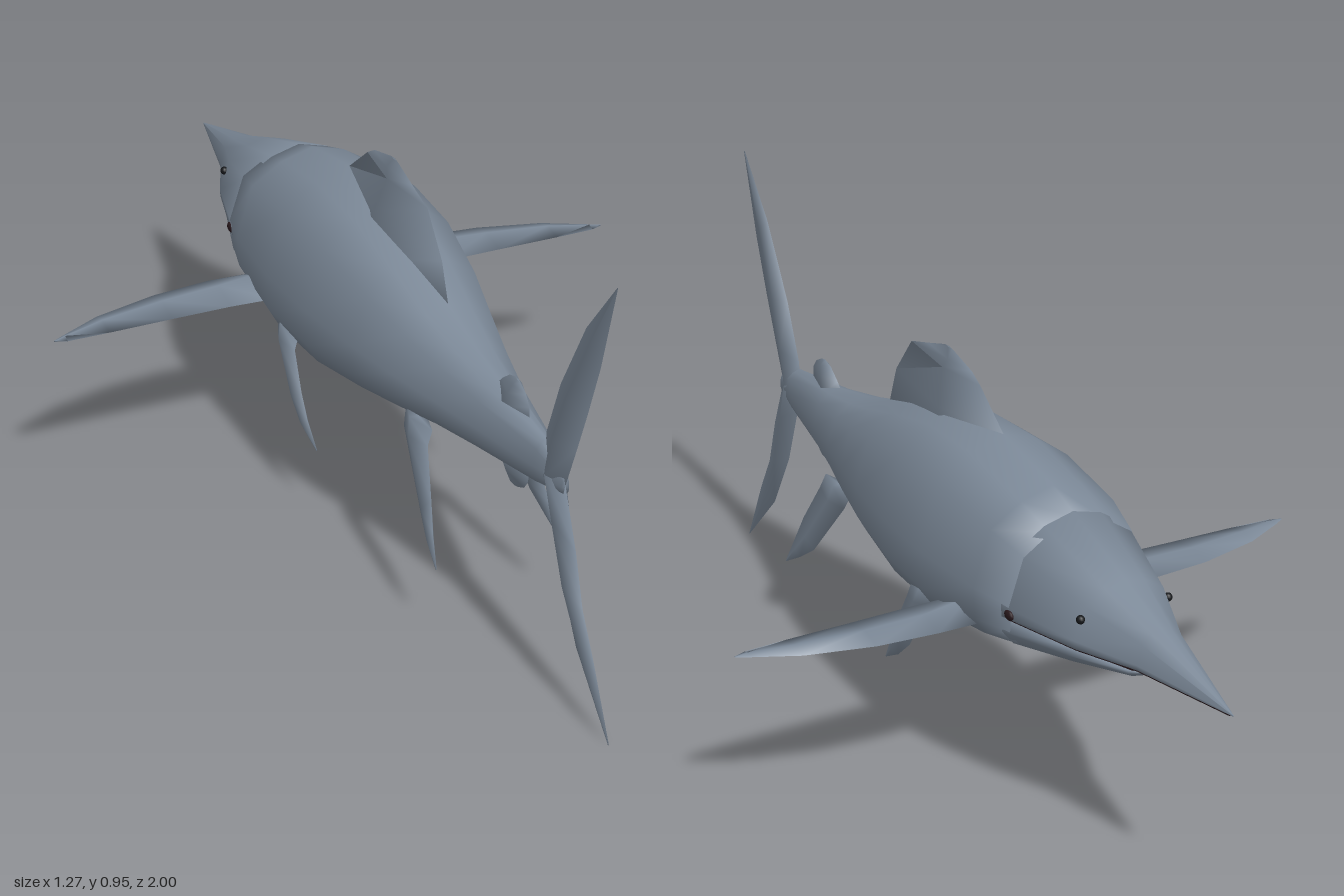
import * as THREE from 'three';

const skin = new THREE.MeshStandardMaterial({ color: 0x7c8998 });
skin.name = 'blue grey skin';
const mouthDark = new THREE.MeshStandardMaterial({ color: 0x2a1a1e });
mouthDark.name = 'dark mouth';
const eyeDark = new THREE.MeshStandardMaterial({ color: 0x15171a });
eyeDark.name = 'dark eye';

// Closed skin through equal-sized rings of [x, y, z] points, with end caps, facing outward
function loft(rings) {
  const n = rings[0].length;
  const middle = (ring) => [0, 1, 2].map((k) => ring.reduce((s, p) => s + p[k], 0) / n);
  const points = rings.flat();
  points.push(middle(rings[0]), middle(rings[rings.length - 1]));
  const index = [];
  const last = (rings.length - 1) * n;
  for (let j = 0; j < n; j++) {
    const k = (j + 1) % n;
    for (let i = 0; i < rings.length - 1; i++) {
      const a = i * n + j, b = i * n + k, c = a + n, d = b + n;
      index.push(a, b, c, b, d, c);
    }
    index.push(points.length - 2, k, j, points.length - 1, last + j, last + k);
  }
  // Signed volume tells whether the faces point inward
  let volume = 0;
  const v = points.map((p) => new THREE.Vector3(...p));
  const origin = v[v.length - 2];
  const rel = v.map((p) => p.clone().sub(origin));
  for (let i = 0; i < index.length; i += 3) {
    volume += rel[index[i]].dot(rel[index[i + 1]].clone().cross(rel[index[i + 2]]));
  }
  if (volume < 0) index.reverse();
  const geometry = new THREE.BufferGeometry();
  geometry.setAttribute('position', new THREE.Float32BufferAttribute(points.flat(), 3));
  geometry.setIndex(index);
  geometry.computeVertexNormals();
  return geometry;
}

// Mirrored ring from a half section of [width share, height share]
function ring(half, [z, top, bottom, w]) {
  const right = half.map(([x, u]) => [x * w, bottom + (top - bottom) * u, z]);
  const left = right.filter((p, i) => half[i][0] > 0).reverse().map(([x, y, q]) => [-x, y, q]);
  return [...right, ...left];
}

// Fin with a diamond section; each station is [leading point, trailing point, half thickness]
function fin(stations, axis) {
  return loft(stations.map(([a, b, t]) => {
    const mid = a.map((p, i) => p * 0.55 + b[i] * 0.45);
    const up = [...mid], down = [...mid];
    up[axis] += t;
    down[axis] -= t;
    return [a, up, b, down];
  }));
}

// Upright fin on the centre line; stations are [lead z, lead y, trail z, trail y, half thickness]
const uprightFin = (rows) =>
  fin(rows.map(([z1, y1, z2, y2, t]) => [[0, y1, z1], [0, y2, z2], t]), 0);

export function createModel() {
  const model = new THREE.Group();
  const add = (name, geometry, material = skin) => {
    const mesh = new THREE.Mesh(geometry, material);
    mesh.name = name;
    model.add(mesh);
    return mesh;
  };

  // Body: [z, top, bottom, half width]
  const bodyHalf = [[0, 1], [0.4, 0.94], [0.79, 0.81], [1, 0.47], [0.98, 0.27], [0.85, 0.16], [0, 0]];
  add('body', loft([
    [0.8, 0.48, 0.44, 0.008], [0.72, 0.52, 0.417, 0.026], [0.53, 0.543, 0.392, 0.063],
    [0.41, 0.567, 0.376, 0.092], [0.294, 0.6, 0.352, 0.122], [0.17, 0.645, 0.326, 0.152],
    [0, 0.69, 0.294, 0.18], [-0.176, 0.695, 0.289, 0.19], [-0.364, 0.658, 0.32, 0.178],
    [-0.46, 0.625, 0.342, 0.155],
  ].map((s) => ring(bodyHalf, s))));

  // Upper head and pointed snout with a flat underside
  const headHalf = [[0, 1], [0.4, 0.91], [0.79, 0.69], [1, 0.14], [0.99, 0], [0, 0]];
  add('snout', loft([
    [-0.44, 0.632, 0.445, 0.16], [-0.63, 0.566, 0.445, 0.11],
    [-0.76, 0.517, 0.445, 0.055], [-1, 0.447, 0.445, 0.001],
  ].map((s) => ring(headHalf, s))));

  // Lower jaw
  const jawHalf = [[0, 1], [0.97, 1], [0.98, 0.7], [0.82, 0.4], [0, 0]];
  add('lowerJaw', loft([
    [-0.44, 0.443, 0.338, 0.16], [-0.6, 0.438, 0.377, 0.112],
    [-0.735, 0.434, 0.411, 0.058], [-0.757, 0.433, 0.428, 0.03],
  ].map((s) => ring(jawHalf, s))));

  // Dark lining under the snout and on the jaw
  const plateHalf = [[1, 1], [1, 0]];
  add('palate', loft([
    [-0.45, 0.446, 0.442, 0.154], [-0.63, 0.446, 0.442, 0.107],
    [-0.76, 0.446, 0.442, 0.053], [-0.99, 0.446, 0.442, 0.002],
  ].map((s) => ring(plateHalf, s))), mouthDark);
  add('mouthFloor', loft([
    [-0.45, 0.445, 0.441, 0.15], [-0.6, 0.44, 0.436, 0.106], [-0.74, 0.436, 0.432, 0.05],
  ].map((s) => ring(plateHalf, s))), mouthDark);

  // Fins on the centre line
  add('dorsalFin', uprightFin([
    [-0.3, 0.57, 0.31, 0.56, 0.06], [-0.175, 0.695, 0.267, 0.68, 0.036],
    [-0.085, 0.765, 0.2, 0.765, 0.016], [-0.05, 0.785, 0.13, 0.785, 0.01],
    [0.03, 0.806, 0.06, 0.806, 0.002],
  ]));
  add('upperFinlet', uprightFin([
    [0.5, 0.52, 0.65, 0.51, 0.024], [0.535, 0.555, 0.65, 0.55, 0.016],
    [0.565, 0.578, 0.635, 0.57, 0.01], [0.59, 0.586, 0.61, 0.583, 0.002],
  ]));
  add('lowerFinlet', uprightFin([
    [0.5, 0.42, 0.66, 0.43, 0.024], [0.535, 0.382, 0.65, 0.385, 0.016],
    [0.565, 0.358, 0.635, 0.365, 0.01], [0.59, 0.35, 0.61, 0.353, 0.002],
  ]));
  add('upperTailLobe', uprightFin([
    [0.715, 0.46, 0.8, 0.46, 0.022], [0.72, 0.535, 0.84, 0.56, 0.02],
    [0.77, 0.663, 0.875, 0.65, 0.016], [0.86, 0.824, 0.918, 0.77, 0.01],
    [0.967, 0.956, 0.969, 0.956, 0.001],
  ]));
  add('lowerTailLobe', uprightFin([
    [0.715, 0.48, 0.8, 0.462, 0.022], [0.733, 0.41, 0.848, 0.345, 0.02],
    [0.781, 0.278, 0.882, 0.235, 0.016], [0.861, 0.139, 0.93, 0.15, 0.01],
    [0.999, 0.002, 1, 0.004, 0.001],
  ]));

  // Paired parts on both sides
  for (const [side, s] of [['left', 1], ['right', -1]]) {
    add(side + 'PectoralFin', fin([
      [0.15, -0.355, -0.225, 0.393, 0.03], [0.25, -0.357, -0.228, 0.395, 0.016],
      [0.38, -0.345, -0.23, 0.394, 0.012], [0.52, -0.308, -0.231, 0.393, 0.009],
      [0.61, -0.262, -0.234, 0.392, 0.005], [0.636, -0.247, -0.243, 0.392, 0.001],
    ].map(([x, z1, z2, y, t]) => [[s * x, y, z1], [s * x, y, z2], t]), 1));

    // Hanging fins: [x, lead z, lead y, trail z, trail y, half thickness]
    const hanging = (rows) => fin(rows.map(([x, z1, y1, z2, y2, t]) =>
      [[s * x, y1, z1], [s * x, y2, z2], t]), 0);
    add(side + 'FrontBellyFin', hanging([
      [0.155, -0.19, 0.385, -0.085, 0.385, 0.02], [0.168, -0.172, 0.355, -0.082, 0.345, 0.016],
      [0.172, -0.096, 0.235, -0.04, 0.265, 0.012], [0.171, -0.045, 0.19, -0.015, 0.215, 0.009],
      [0.165, 0.019, 0.155, 0.021, 0.157, 0.001],
    ]));
    add(side + 'RearBellyFin', hanging([
      [0.092, 0.3, 0.4, 0.42, 0.4, 0.018], [0.104, 0.315, 0.36, 0.425, 0.37, 0.014],
      [0.12, 0.43, 0.22, 0.476, 0.28, 0.011], [0.129, 0.48, 0.185, 0.503, 0.22, 0.008],
      [0.136, 0.533, 0.155, 0.535, 0.157, 0.001],
    ]));

    const eye = add(side + 'Eye', new THREE.SphereGeometry(0.009, 10, 8), eyeDark);
    eye.position.set(s * 0.098, 0.505, -0.63);
    const corner = add(side + 'MouthCorner', new THREE.SphereGeometry(0.012, 10, 8), mouthDark);
    corner.scale.set(0.5, 0.9, 1.3);
    corner.position.set(s * 0.154, 0.455, -0.46);
  }
  return model;
}
